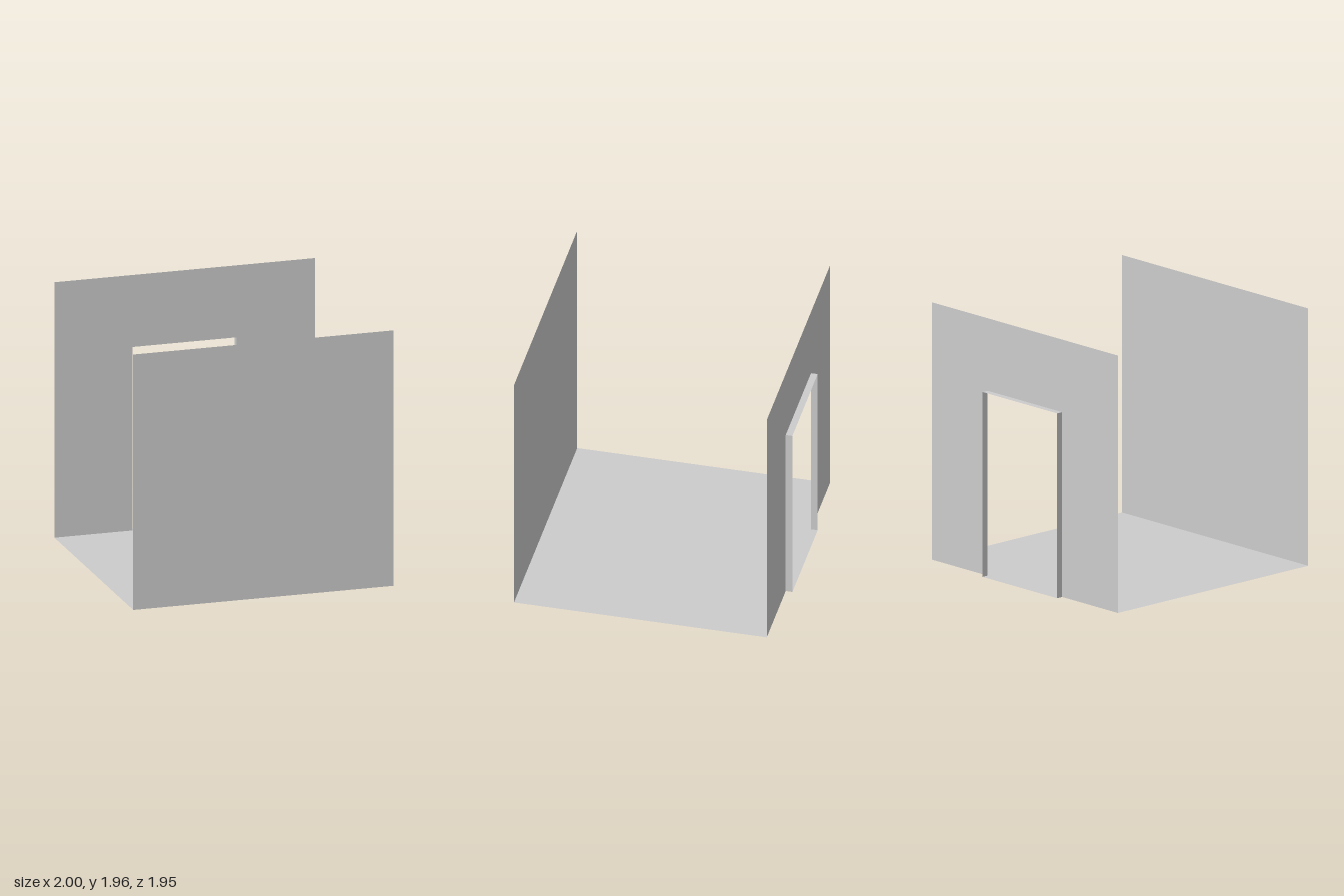
import * as THREE from 'three';

const W = 2, H = 1.955;               // wall width and height
const FRONT = 0.976, BACK = -0.926;   // wall planes
const DOOR_W = 0.8, DOOR_H = 1.404, REVEAL = 0.05;

export function createModel() {
  const group = new THREE.Group();
  const material = new THREE.MeshStandardMaterial({ color: 0xcccccc, side: THREE.DoubleSide });

  const add = (name, geometry, position, rotation = [0, 0, 0]) => {
    const mesh = new THREE.Mesh(geometry, material);
    mesh.name = name;
    mesh.position.set(...position);
    mesh.rotation.set(...rotation);
    group.add(mesh);
  };
  const sheet = (w, h) => new THREE.PlaneGeometry(w, h);

  // Floor and solid front wall, both paper-thin
  add('floor', sheet(W, FRONT - BACK), [0, 0, (FRONT + BACK) / 2], [-Math.PI / 2, 0, 0]);
  add('frontWall', sheet(W, H), [0, H / 2, FRONT]);

  // Back wall outline notched by the doorway
  const d = DOOR_W / 2;
  const outline = [[-W / 2, 0], [-d, 0], [-d, DOOR_H], [d, DOOR_H], [d, 0], [W / 2, 0], [W / 2, H], [-W / 2, H]];
  const wall = new THREE.Shape(outline.map(([x, y]) => new THREE.Vector2(x, y)));
  add('backWall', new THREE.ShapeGeometry(wall), [0, 0, BACK], [0, 0, 0]);

  // Door reveal projecting behind the back wall: threshold, lintel and jambs
  const z = BACK - REVEAL / 2;
  add('threshold', sheet(DOOR_W, REVEAL), [0, 0, z], [-Math.PI / 2, 0, 0]);
  add('lintel', sheet(DOOR_W, REVEAL), [0, DOOR_H, z], [Math.PI / 2, 0, 0]);
  for (const [name, s] of [['leftJamb', 1], ['rightJamb', -1]]) {
    add(name, sheet(REVEAL, DOOR_H), [s * d, DOOR_H / 2, z], [0, -s * Math.PI / 2, 0]);
  }
  return group;
}
